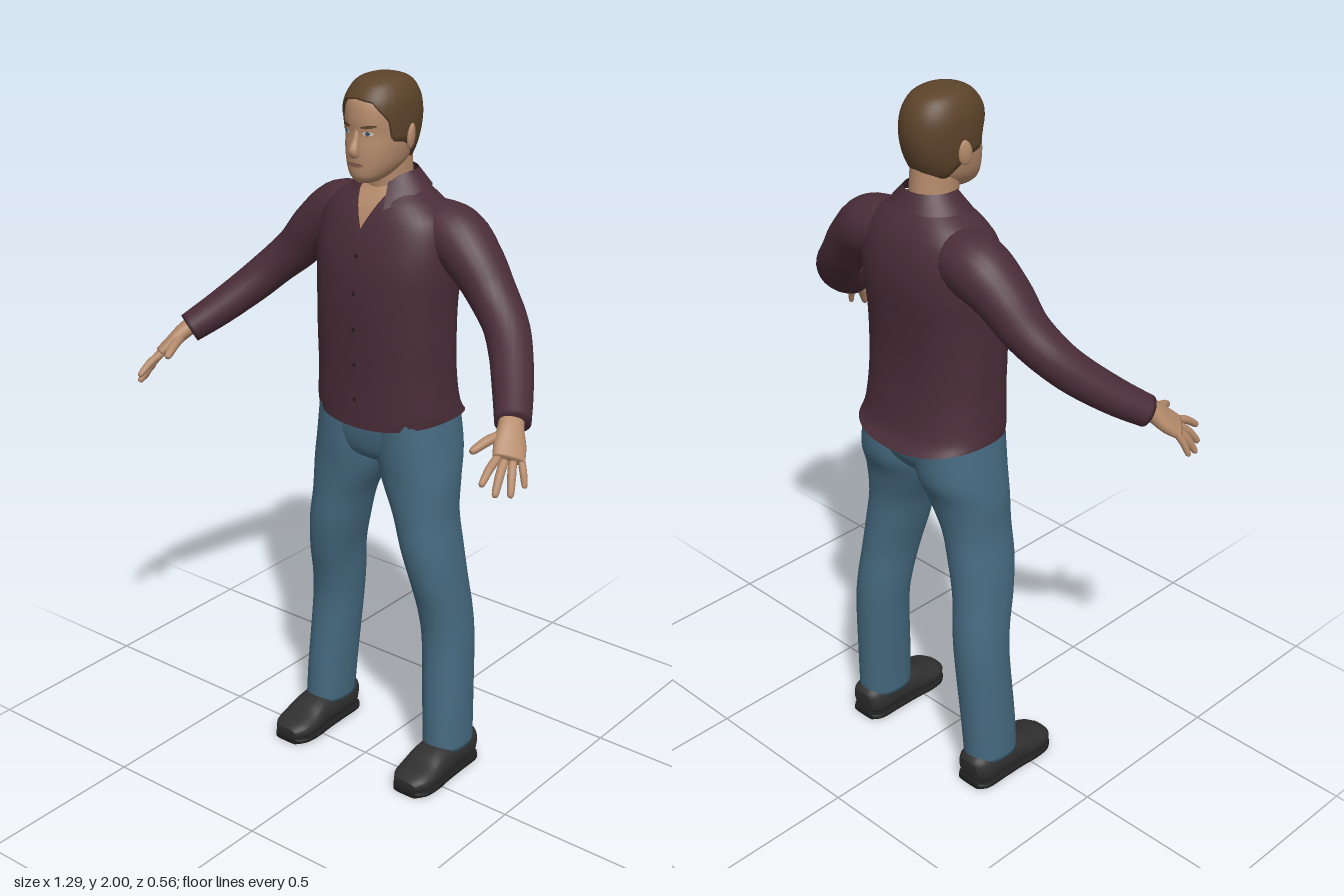
import * as THREE from 'three';

const mat = (name, color, side = THREE.FrontSide) => {
  const m = new THREE.MeshStandardMaterial({ color, side });
  m.name = name;
  return m;
};
const V = (x, y, z) => new THREE.Vector3(x, y, z);

// Catmull-Rom resampling of rows of numbers
function resample(rows, per = 6) {
  const out = [], last = rows.length - 1;
  for (let i = 0; i < last; i++) {
    const a = rows[Math.max(i - 1, 0)], b = rows[i], c = rows[i + 1], d = rows[Math.min(i + 2, last)];
    for (let k = 0; k < per; k++) {
      const t = k / per;
      out.push(b.map((q, n) => {
        const c1 = c[n] - a[n], c2 = 2 * a[n] - 5 * q + 4 * c[n] - d[n], c3 = 3 * (q - c[n]) + d[n] - a[n];
        return q + 0.5 * t * (c1 + t * (c2 + t * c3));
      }));
    }
  }
  out.push(rows[last]);
  return out;
}

// Skin over rings of points; caps collapse the end rings to their centres
function skin(rings, { closed = true, capA = false, capB = false } = {}) {
  const flat = r => {
    const c = r.reduce((s, p) => s.add(p), V(0, 0, 0)).divideScalar(r.length);
    return r.map(() => c);
  };
  const all = [...(capA ? [flat(rings[0])] : []), ...rings, ...(capB ? [flat(rings[rings.length - 1])] : [])];
  const n = all[0].length, idx = [];
  for (let i = 0; i < all.length - 1; i++) {
    for (let j = 0; j < (closed ? n : n - 1); j++) {
      const a = i * n + j, b = i * n + (j + 1) % n;
      idx.push(a, a + n, b, b, a + n, b + n);
    }
  }
  const g = new THREE.BufferGeometry().setFromPoints(all.flat());
  g.setIndex(idx);
  g.computeVertexNormals();
  return g;
}

const spow = (v, n) => Math.sign(v) * Math.abs(v) ** (2 / n);
// Point on a level section [y, x, zFront, zBack, halfWidth]
const onSection = ([y, x, zf, zb, rx], th, n, off = 0) =>
  V(x + (rx + off) * spow(Math.cos(th), n), y, (zf + zb) / 2 + ((zf - zb) / 2 + off) * spow(Math.sin(th), n));
const angles = n => Array.from({ length: n }, (_, j) => j / n * Math.PI * 2);
const body = (rows, n, opts) => skin(resample(rows).map(r => angles(40).map(t => onSection(r, t, n))), opts);

// Tube along points [x, y, z, radius along ref, radius across]; s = -1 mirrors it
function limb(rows, ref, s = 1, n = 2, sides = 24, per = 6) {
  const pts = resample(rows.map(([x, ...r]) => [x * s, ...r]), per);
  const c = pts.map(p => V(p[0], p[1], p[2]));
  const up = V(ref[0] * s, ref[1], ref[2]);
  return skin(pts.map((p, i) => {
    const T = c[Math.min(i + 1, c.length - 1)].clone().sub(c[Math.max(i - 1, 0)]).normalize();
    const U = up.clone().addScaledVector(T, -up.dot(T)).normalize();
    const W = U.clone().cross(T);
    return angles(sides).map(t => c[i].clone().addScaledVector(U, p[3] * spow(Math.cos(t), n))
      .addScaledVector(W, p[4] * spow(Math.sin(t), n)));
  }), { capA: true, capB: true });
}

// Section of a resampled body at height y
function sectionAt(dense, y) {
  let i = 0;
  while (i < dense.length - 2 && dense[i + 1][0] < y) i++;
  const a = dense[i], b = dense[i + 1];
  const t = THREE.MathUtils.clamp((y - a[0]) / (b[0] - a[0]), 0, 1);
  return a.map((v, k) => v + (b[k] - v) * t);
}
function frontZ(dense, x, y, n) {
  const [, , zf, zb, rx] = sectionAt(dense, y);
  return (zf + zb) / 2 + (zf - zb) / 2 * Math.max(0, 1 - Math.abs(x / rx) ** n) ** (1 / n);
}

const HEAD = [
  [1.733, 0, 0.025, -0.05, 0.026], [1.75, 0, 0.038, -0.09, 0.047], [1.78, 0, 0.042, -0.14, 0.066],
  [1.82, 0, 0.042, -0.165, 0.076], [1.86, 0, 0.038, -0.178, 0.08], [1.9, 0, 0.04, -0.182, 0.082],
  [1.94, 0, 0.033, -0.175, 0.078], [1.97, 0, 0.01, -0.155, 0.063], [1.985, 0, -0.015, -0.13, 0.046],
  [1.993, 0, -0.045, -0.1, 0.022]];
const TORSO = [
  [1.058, 0, 0.045, -0.278, 0.207], [1.1, 0, 0.045, -0.252, 0.206], [1.2, 0, 0.045, -0.235, 0.2],
  [1.3, 0, 0.048, -0.23, 0.2], [1.4, 0, 0.05, -0.235, 0.2], [1.5, 0, 0.045, -0.245, 0.205],
  [1.57, 0, 0.03, -0.243, 0.203], [1.63, 0, 0.01, -0.23, 0.188], [1.67, 0, -0.01, -0.212, 0.15],
  [1.695, 0, -0.03, -0.195, 0.115], [1.715, 0, -0.045, -0.18, 0.08]];
const LEG = [
  [0.08, 0.22, -0.025, -0.19, 0.062], [0.2, 0.214, -0.03, -0.196, 0.064], [0.4, 0.202, -0.044, -0.206, 0.068],
  [0.5, 0.193, -0.035, -0.205, 0.069], [0.6, 0.182, -0.01, -0.195, 0.07], [0.7, 0.164, 0.007, -0.19, 0.077],
  [0.8, 0.143, 0.01, -0.19, 0.084], [0.9, 0.119, 0.013, -0.208, 0.106], [0.98, 0.106, 0.02, -0.238, 0.108],
  [1.09, 0.1, 0.025, -0.24, 0.095]];
const SLEEVE = [
  [0.1, 1.6, -0.13, 0.08, 0.08], [0.19, 1.588, -0.135, 0.085, 0.086], [0.265, 1.535, -0.125, 0.072, 0.078],
  [0.33, 1.463, -0.112, 0.062, 0.067], [0.39, 1.405, -0.085, 0.056, 0.061], [0.44, 1.35, -0.04, 0.053, 0.057],
  [0.5, 1.285, 0.035, 0.048, 0.052], [0.55, 1.235, 0.105, 0.042, 0.046]];
const SHOE = [
  [0.222, 0.052, -0.198, 0.035, 0.036], [0.222, 0.056, -0.17, 0.052, 0.054], [0.222, 0.056, -0.1, 0.052, 0.056],
  [0.222, 0.053, -0.03, 0.048, 0.058], [0.222, 0.042, 0.02, 0.036, 0.062], [0.222, 0.035, 0.07, 0.027, 0.057],
  [0.222, 0.03, 0.1, 0.017, 0.036]];
const PALM = [
  [0.535, 1.255, 0.085, 0.031, 0.025], [0.556, 1.23, 0.122, 0.034, 0.023], [0.575, 1.2, 0.152, 0.042, 0.02],
  [0.593, 1.175, 0.182, 0.042, 0.015]];
// base, tip and thickness of each finger
const FINGERS = [
  [[0.571, 1.182, 0.198], [0.58, 1.136, 0.28], 0.011], [[0.585, 1.174, 0.19], [0.605, 1.105, 0.256], 0.0115],
  [[0.6, 1.17, 0.175], [0.627, 1.097, 0.22], 0.011], [[0.612, 1.172, 0.155], [0.639, 1.11, 0.176], 0.0095],
  [[0.552, 1.22, 0.13], [0.515, 1.192, 0.234], 0.013]];
// hairline: angle from the front, height
const HAIRLINE = [[0, 1.948], [0.5, 1.942], [0.75, 1.92], [0.98, 1.895], [1.1, 1.845], [1.5, 1.838], [1.85, 1.812],
  [2.2, 1.785], [3.15, 1.778]];

export function createModel() {
  const root = new THREE.Group();
  const shirt = mat('plum shirt', 0x4a2d38, THREE.DoubleSide), jeans = mat('blue denim', 0x45697f);
  const flesh = mat('skin', 0xb48a6b), hairMat = mat('brown hair', 0x5c432a);
  const leather = mat('black leather', 0x303030), sole = mat('sole', 0x1f1f1f);
  const white = mat('eye white', 0xc9c4bd), iris = mat('iris', 0x3d5266);
  const lip = mat('lips', 0x8f5f50), dark = mat('button', 0x2a1a20);
  const add = (name, geo, m, parent = root) => {
    const mesh = new THREE.Mesh(geo, m);
    mesh.name = name;
    parent.add(mesh);
    return mesh;
  };

  // Shirt body, with the hem raised at the sides
  const torso = body(TORSO, 2.4, { capB: true }), tp = torso.attributes.position;
  for (let i = 0; i < tp.count; i++) {
    const low = Math.max(0, 1 - (tp.getY(i) - 1.058) / 0.08);
    tp.setY(i, tp.getY(i) + 0.025 * low * (tp.getX(i) / 0.207) ** 2);
  }
  torso.computeVertexNormals();
  add('shirt', torso, shirt);
  const torsoDense = resample(TORSO), headDense = resample(HEAD);

  // Folded collar, open at the front
  const collar = [1, 0.75, 0.5, 0.25, 0].map(t => Array.from({ length: 41 }, (_, j) => {
    const th = Math.PI / 2 + 0.5 + j / 40 * (Math.PI * 2 - 1);
    const f = Math.max(0, Math.sin(th)) ** 2;
    return V((0.07 + 0.042 * t) * Math.cos(th), 1.75 - 0.02 * f - t * (0.045 + 0.035 * f),
      -0.113 + (0.066 + 0.027 * t) * Math.sin(th) + 0.035 * f * t);
  }));
  add('collar', skin(collar, { closed: false }), shirt);

  // Open neckline and buttons
  const neckline = Array.from({ length: 9 }, (_, i) => Array.from({ length: 9 }, (_, j) => {
    const y = 1.61 + 0.105 * i / 8, x = (1 - j / 4) * 0.052 * i / 8;
    return V(x, y, frontZ(torsoDense, x, y, 2.4) + 0.004);
  }));
  add('openNeckline', skin(neckline, { closed: false }), flesh);
  for (const y of [1.54, 1.44, 1.34, 1.24, 1.14]) {
    add('button', new THREE.CircleGeometry(0.006, 12), dark).position.set(0, y, frontZ(torsoDense, 0, y, 2.4) + 0.003);
  }

  // Hips between the legs
  add('hips', body([[0.925, 0, -0.06, -0.14, 0.03], [0.96, 0, 0, -0.19, 0.12], [1.02, 0, 0.02, -0.232, 0.19],
    [1.1, 0, 0.025, -0.235, 0.194]], 2.4, { capA: true, capB: true }), jeans);

  // Limbs on both sides
  for (const s of [1, -1]) {
    const side = s > 0 ? 'left' : 'right';
    add(side + 'Leg', body(LEG.map(([y, x, ...r]) => [y, x * s, ...r]), 2.2, { capA: true, capB: true }), jeans);
    add(side + 'Sleeve', limb(SLEEVE, [0, 1, 0], s), shirt);
    add(side + 'Shoe', limb(SHOE, [0, 1, 0], s, 2.5), leather);
    add(side + 'Sole', limb(SHOE.map(([x, , z, , w]) => [x, 0.009, z, 0.009, w + 0.003]), [0, 1, 0], s, 4), sole);
    const hand = new THREE.Group();
    hand.name = side + 'Hand';
    root.add(hand);
    add('palm', limb(PALM, [-0.6, 0.2, 0.75], s, 2.3), flesh, hand);
    for (const [a, b, r] of FINGERS) {
      // slightly arched finger with a rounded tip
      const at = (t, lift, k) => [...a.map((v, i) => v + (b[i] - v) * t + (i === 1 ? lift : 0)), r * k, r * k];
      add('finger', limb([at(0, 0, 1), at(0.5, 0.006, 1), at(0.9, 0.001, 0.8), at(1, 0, 0.4)],
        [1, 0.3, 0], s, 2, 12, 4), flesh, hand);
    }
  }

  // Head, neck and hair
  const head = new THREE.Group();
  head.name = 'head';
  root.add(head);
  add('face', body(HEAD, 2.2, { capA: true, capB: true }), flesh, head);
  add('neck', body([[1.64, 0, -0.045, -0.18, 0.068], [1.72, 0, -0.035, -0.17, 0.06],
    [1.82, 0, -0.02, -0.163, 0.058]], 2), flesh, head);
  const hairY = th => {
    const a = Math.acos(THREE.MathUtils.clamp(Math.sin(th), -1, 1));
    const i = Math.max(1, HAIRLINE.findIndex(h => h[0] >= a)), [p, q] = [HAIRLINE[i - 1], HAIRLINE[i]];
    return p[1] + (q[1] - p[1]) * (a - p[0]) / (q[0] - p[0]);
  };
  const hair = Array.from({ length: 22 }, (_, i) => angles(64).map(th => {
    const t = 1 - (1 - Math.max(0, i - 1) / 20) ** 2;
    const h = hairY(th), y = h + (1.993 - h) * t;
    const p = onSection(sectionAt(headDense, y), th, 2.2, i === 0 ? -0.004 : 0.007);
    p.y += 0.007 * THREE.MathUtils.smoothstep(y, 1.92, 1.993);
    return p;
  }));
  add('hair', skin(hair, { capB: true }), hairMat, head);

  // Nose, ears and flat face details that follow the head
  add('nose', limb([[0, 1.873, 0.03, 0.007, 0.008], [0, 1.845, 0.04, 0.009, 0.01], [0, 1.82, 0.05, 0.014, 0.013],
    [0, 1.806, 0.044, 0.013, 0.009]], [1, 0, 0], 1, 2, 16), flesh, head);
  const decal = (name, x, y, w, h, m, off, tilt = 0) => {
    const g = new THREE.CircleGeometry(1, 20).scale(w, h, 1).rotateZ(tilt).translate(x, y, 0);
    const p = g.attributes.position;
    for (let i = 0; i < p.count; i++) p.setZ(i, frontZ(headDense, p.getX(i), p.getY(i), 2.2) + off);
    g.computeVertexNormals();
    add(name, g, m, head);
  };
  for (const s of [1, -1]) {
    decal('eye', s * 0.034, 1.866, 0.013, 0.0055, white, 0.003);
    decal('iris', s * 0.034, 1.866, 0.0055, 0.0055, iris, 0.0045);
    decal('eyebrow', s * 0.035, 1.883, 0.019, 0.004, hairMat, 0.004, s * 0.12);
    const ear = add('ear', new THREE.SphereGeometry(1, 16, 12), flesh, head);
    ear.scale.set(0.009, 0.034, 0.02);
    ear.position.set(s * 0.087, 1.848, -0.078);
    ear.rotation.set(-0.15, s * 0.3, 0);
  }
  decal('mouth', 0, 1.783, 0.025, 0.006, lip, 0.004);
  return root;
}
